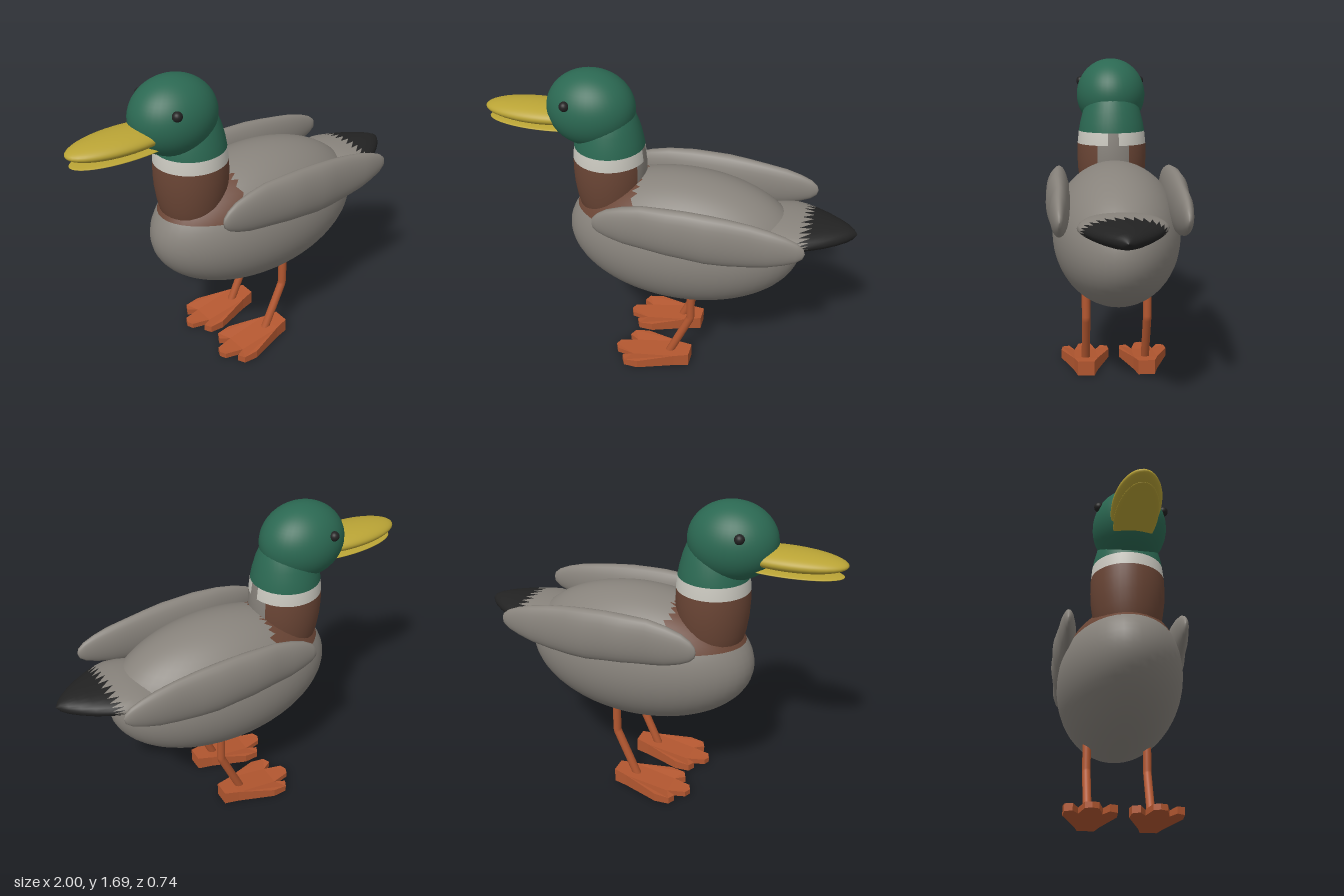
import * as THREE from 'three';

const mat = (name, color, side = THREE.FrontSide) => {
  const m = new THREE.MeshStandardMaterial({ color, side });
  m.name = name;
  return m;
};

// Sort triangles into material groups by a rule on their centre
function paint(geo, pick) {
  const p = geo.attributes.position, idx = geo.index.array, lists = [];
  for (let i = 0; i < idx.length; i += 3) {
    const t = [idx[i], idx[i + 1], idx[i + 2]];
    const c = new THREE.Vector3();
    t.forEach(v => c.add(new THREE.Vector3().fromBufferAttribute(p, v)));
    c.divideScalar(3);
    const k = pick(c);
    (lists[k] ||= []).push(...t);
  }
  geo.setIndex(lists.flat());
  geo.clearGroups();
  let start = 0;
  lists.forEach((l, k) => {
    geo.addGroup(start, l.length, k);
    start += l.length;
  });
  return geo;
}

const ellipsoid = (c, r, w = 40, h = 32) =>
  new THREE.SphereGeometry(1, w, h).scale(...r).translate(...c);

// Smooth loft of elliptical sections [x, centreY, centreZ, radiusY, radiusZ]
function loft(sections, sides = 28) {
  const pos = [], idx = [];
  sections.forEach(([x, cy, cz, ry, rz], i) => {
    for (let j = 0; j < sides; j++) {
      const a = (j / sides) * Math.PI * 2;
      pos.push(x, cy + Math.cos(a) * ry, cz + Math.sin(a) * rz);
      if (i === sections.length - 1) continue;
      const p = i * sides + j, q = i * sides + (j + 1) % sides;
      idx.push(p, q, p + sides, q, q + sides, p + sides);
    }
  });
  const g = new THREE.BufferGeometry();
  g.setAttribute('position', new THREE.Float32BufferAttribute(pos, 3));
  g.setIndex(idx);
  g.computeVertexNormals();
  return g;
}

export function createModel() {
  const grey = mat('feather grey', 0x88837c);
  const green = mat('head green', 0x2b6852);
  const white = mat('collar white', 0xcbc9c0);
  const brown = mat('breast brown', 0x6a4535);
  const yellow = mat('beak yellow', 0xb9a335);
  const orange = mat('leg orange', 0xb35730);
  const black = mat('tail black', 0x222222);

  const model = new THREE.Group();
  const add = (name, geo, material) => {
    const m = new THREE.Mesh(geo, material);
    m.name = name;
    model.add(m);
    return m;
  };

  // Body with brown upper breast
  add('body', paint(ellipsoid([0.08, 0.785, 0], [0.64, 0.375, 0.34], 48, 32),
    c => (c.y > 0.93 && c.x < -0.15 ? 1 : 0)), [grey, brown]);

  // Neck with brown, white and green bands and a grey nape
  const neckProfile = [0.78, 0.86, 0.93, 1.0, 1.08, 1.15, 1.22, 1.29, 1.34, 1.4, 1.46, 1.52].map(y =>
    new THREE.Vector2(0.196 * Math.sqrt(1 - ((y - 1.16) / 0.43) ** 2), y));
  const neck = new THREE.LatheGeometry(neckProfile, 40).translate(-0.326, 0, 0);
  add('neck', paint(neck, c => {
    if (c.y > 1.29) return 3;
    if (c.y > 1.22) return c.x < -0.139 ? 2 : 0;
    return c.x < -0.152 ? 1 : 0;
  }), [grey, brown, white, green]);

  // Head and beak
  add('head', ellipsoid([-0.418, 1.488, 0], [0.233, 0.203, 0.195]), green);
  add('upperBeak', ellipsoid([-0.7, 1.435, 0], [0.3, 0.052, 0.125]), yellow);
  add('lowerBeak', ellipsoid([-0.685, 1.376, 0], [0.3, 0.014, 0.11]), yellow);

  // Tail, tipped black
  const tail = loft([
    [0.4, 0.93, 0, 0.02, 0.12], [0.5, 0.93, 0, 0.05, 0.18], [0.6, 0.93, 0, 0.064, 0.21],
    [0.66, 0.93, 0, 0.065, 0.22], [0.71, 0.93, 0, 0.063, 0.21], [0.77, 0.93, 0, 0.06, 0.185],
    [0.84, 0.93, 0, 0.056, 0.147], [0.9, 0.93, 0, 0.049, 0.106], [0.95, 0.93, 0, 0.038, 0.064],
    [0.98, 0.93, 0, 0.025, 0.03], [1.0, 0.93, 0, 0, 0]]);
  add('tail', paint(tail, c => (c.x > 0.74 ? 1 : 0)), [grey, black]);

  // Webbed foot outline, one half from heel to middle toe
  const half = [[0.16, 0.045], [0.08, 0.065], [-0.12, 0.135], [-0.2, 0.13], [-0.22, 0.09],
    [-0.165, 0.06], [-0.265, 0.035]];
  const outline = [...half, [-0.28, 0], ...half.slice().reverse().map(([x, z]) => [x, -z])];
  const footShape = new THREE.Shape(outline.map(([x, z]) => new THREE.Vector2(x, z)));

  for (const s of [1, -1]) {
    const side = s > 0 ? 'left' : 'right';

    add(side + 'Eye', ellipsoid([-0.5, 1.562, s * 0.17], [0.026, 0.026, 0.026], 20, 14), black);

    // Wing
    add(side + 'Wing', loft([
      [-0.342, 0.985, 0.305, 0, 0], [-0.335, 0.985, 0.305, 0.03, 0.012], [-0.31, 0.987, 0.304, 0.057, 0.022],
      [-0.26, 0.99, 0.302, 0.085, 0.032], [-0.18, 0.992, 0.302, 0.11, 0.044], [-0.08, 0.995, 0.302, 0.128, 0.05],
      [0.06, 0.992, 0.308, 0.138, 0.063], [0.15, 0.987, 0.306, 0.143, 0.06], [0.26, 0.981, 0.307, 0.145, 0.063],
      [0.36, 0.977, 0.303, 0.14, 0.056], [0.48, 0.975, 0.3, 0.126, 0.048], [0.58, 0.976, 0.302, 0.107, 0.044],
      [0.66, 0.977, 0.302, 0.083, 0.033], [0.72, 0.977, 0.301, 0.057, 0.024], [0.752, 0.977, 0.3, 0.03, 0.014],
      [0.762, 0.977, 0.3, 0, 0]].map(([x, y, z, ry, rz]) => [x, y, s * z, ry, rz])), grey);

    // Leg bent at the joint
    const path = new THREE.CurvePath();
    const pts = [[0.16, 0.53], [0.16, 0.325], [0.035, 0.04]].map(([x, y]) => new THREE.Vector3(x, y, s * 0.165));
    path.add(new THREE.LineCurve3(pts[0], pts[1]));
    path.add(new THREE.LineCurve3(pts[1], pts[2]));
    add(side + 'Leg', new THREE.TubeGeometry(path, 24, 0.023, 14), orange);

    // Foot: wedge sloping to the toes, with dips in the webbing
    const foot = new THREE.ExtrudeGeometry(footShape, { depth: 1, bevelEnabled: false }).rotateX(-Math.PI / 2);
    const p = foot.attributes.position;
    for (let i = 0; i < p.count; i++) {
      const x = p.getX(i), dip = Math.abs(x + 0.165) < 0.01 ? 0.012 : 0;
      p.setY(i, p.getY(i) > 0.5 ? 0.0618 + 0.114 * x - dip : 0);
    }
    foot.computeVertexNormals();
    add(side + 'Foot', foot, orange).position.z = s * 0.165;
  }
  return model;
}
